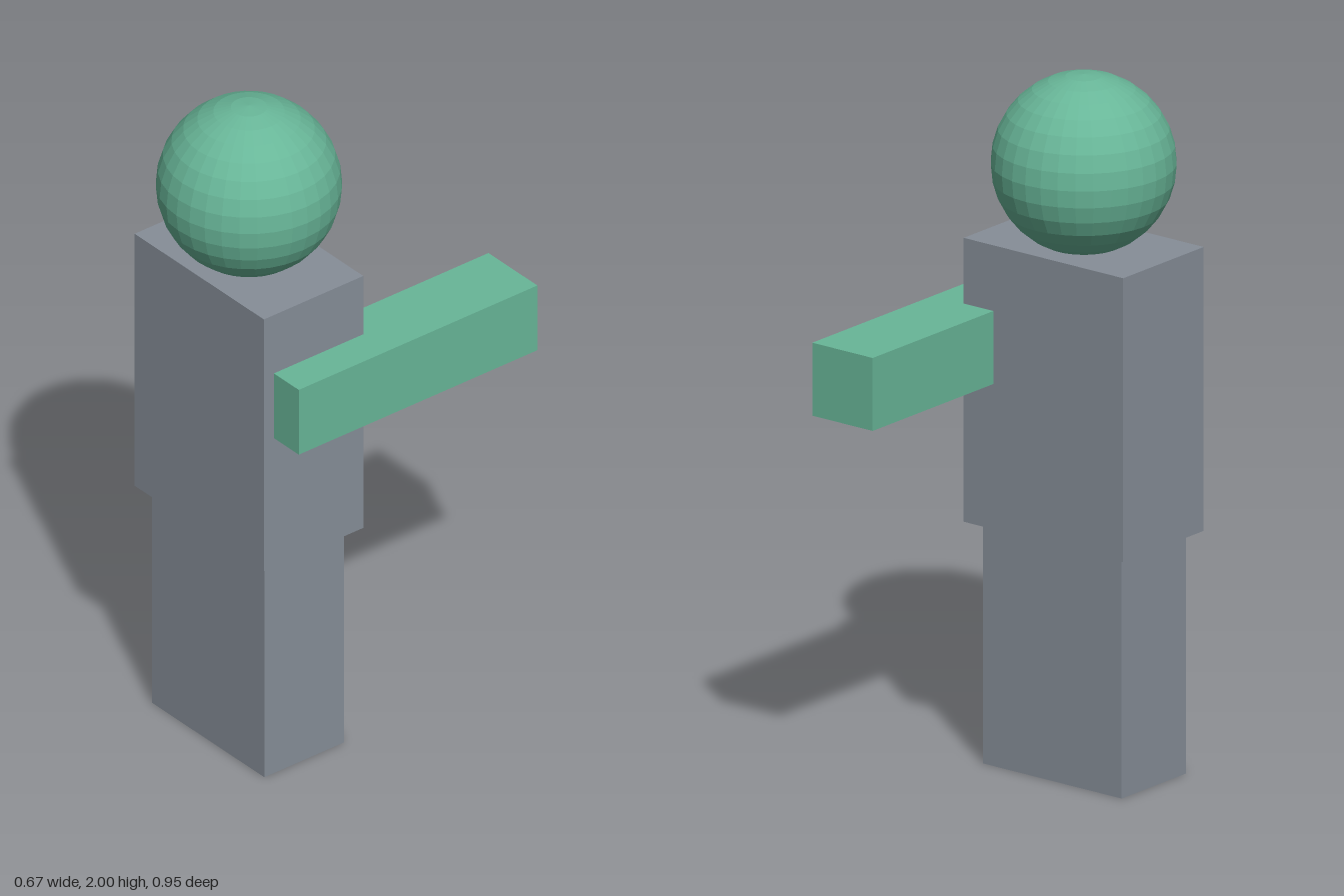
import * as THREE from 'three';

const slate = new THREE.MeshStandardMaterial({ color: 0x868e98, flatShading: true });
const green = new THREE.MeshStandardMaterial({ color: 0x68b698, flatShading: true });

// Box spanning two opposite corners
function block(name, material, min, max) {
  const size = max.map((v, i) => v - min[i]);
  const mesh = new THREE.Mesh(new THREE.BoxGeometry(...size), material);
  mesh.name = name;
  mesh.position.set(...max.map((v, i) => (v + min[i]) / 2));
  return mesh;
}

export function createModel() {
  const model = new THREE.Group();
  model.name = 'blockFigure';

  // Legs and torso
  model.add(block('legs', slate, [-0.297, 0, 0.085], [0.19, 0.7, 0.365]));
  model.add(block('torso', slate, [-0.334, 0.698, 0.046], [0.226, 1.515, 0.396]));

  // Single arm on the left side, reaching backwards
  model.add(block('arm', green, [0.122, 1.116, -0.479], [0.334, 1.326, 0.361]));

  // Faceted head, slightly sunk into the torso
  const head = new THREE.Mesh(new THREE.SphereGeometry(0.255, 32, 16), green);
  head.name = 'head';
  head.position.set(-0.054, 1.745, 0.221);
  model.add(head);

  return model;
}
